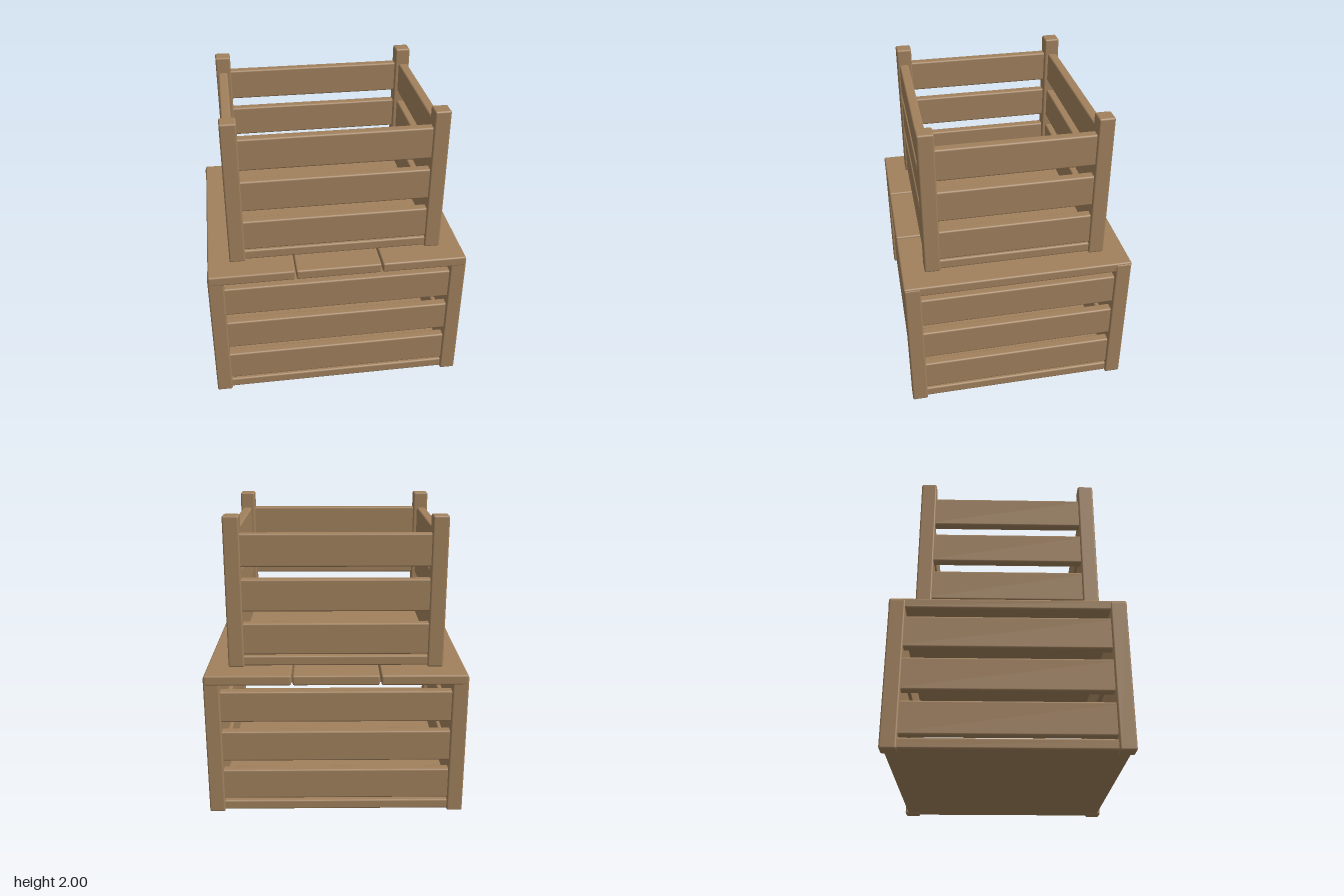
import * as THREE from 'three';
import { RoundedBoxGeometry } from 'three/addons/geometries/RoundedBoxGeometry.js';

const wood = new THREE.MeshStandardMaterial({ color: 0xa1815d });
wood.name = 'wood';

// Timber piece with softly rounded edges
function board(parent, name, size, position) {
  const mesh = new THREE.Mesh(new RoundedBoxGeometry(...size, 2, 0.012), wood);
  mesh.name = name;
  mesh.position.set(...position);
  parent.add(mesh);
}

// Open slatted crate: halfX and halfZ reach the outer faces of the posts
function crate(name, { halfX, halfZ, height, inset, slats }) {
  const group = new THREE.Group();
  group.name = name;
  const post = 0.105, thick = 0.065, slatHeight = 0.215;
  const px = halfX - post / 2, pz = halfZ - post / 2;
  const sx = halfX - inset - thick / 2, sz = halfZ - inset - thick / 2;

  // Corner posts
  for (const x of [-1, 1]) for (const z of [-1, 1]) {
    board(group, 'cornerPost', [post, height, post], [x * px, height / 2, z * pz]);
  }

  // Slats on all four walls, their ends let into the posts
  for (const y of slats) for (const side of [-1, 1]) {
    board(group, 'longSlat', [2 * px, slatHeight, thick], [0, y, side * sz]);
    board(group, 'shortSlat', [thick, slatHeight, 2 * pz], [side * sx, y, 0]);
  }

  // Floor panel
  board(group, 'floor', [2 * (halfX - inset), 0.068, 2 * (halfZ - inset)], [0, 0.041, 0]);
  return group;
}

export function createModel() {
  const model = new THREE.Group();
  model.name = 'stackedCrates';

  const lower = crate('lowerCrate', {
    halfX: 0.863, halfZ: 0.754, height: 0.985, inset: 0.019, slats: [0.2, 0.483, 0.768],
  });
  // Three lid boards with narrow gaps
  for (const i of [-1, 0, 1]) {
    board(lower, 'lidBoard', [0.566, 0.068, 1.512], [i * 0.576, 0.961, 0]);
  }

  const upper = crate('upperCrate', {
    halfX: 0.712, halfZ: 0.604, height: 1.003, inset: 0.014, slats: [0.192, 0.487, 0.782],
  });
  upper.position.y = 0.997;

  model.add(lower, upper);
  return model;
}
